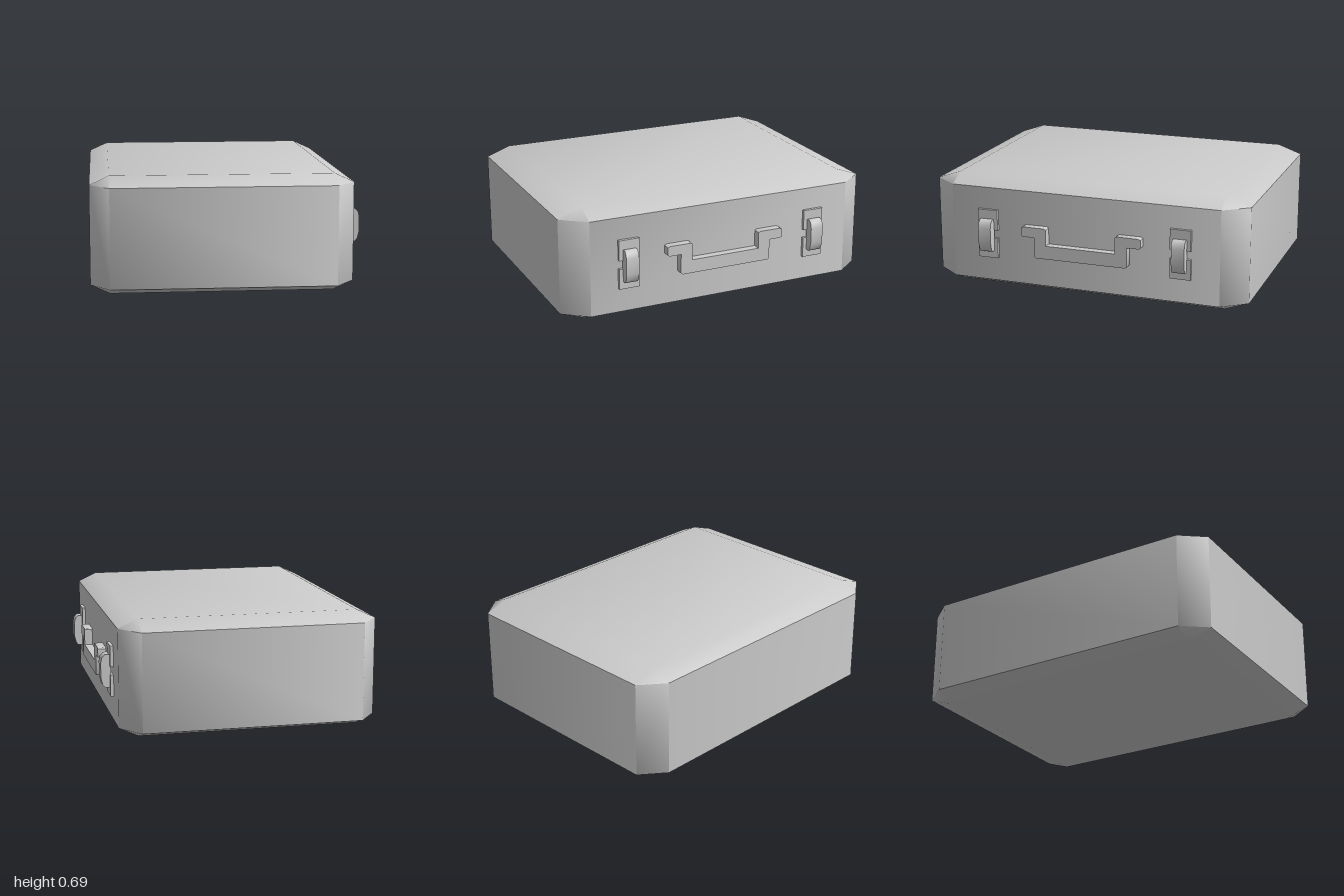
import * as THREE from 'three';
import { toCreasedNormals } from 'three/addons/utils/BufferGeometryUtils.js';
import { ConvexGeometry } from 'three/addons/geometries/ConvexGeometry.js';

const material = new THREE.MeshStandardMaterial({ color: 0xcccccc });

function part(name, geometry, parent) {
  const mesh = new THREE.Mesh(geometry, material);
  mesh.name = name;
  parent.add(mesh);
  return mesh;
}

const shapeOf = (points) => new THREE.Shape(points.map(([x, y]) => new THREE.Vector2(x, y)));

// Box with single-step chamfers: each corner becomes three points
function chamferedBox(hx, hy, hz, cx, cy, cz) {
  const points = [];
  for (const x of [-1, 1]) for (const y of [-1, 1]) for (const z of [-1, 1]) {
    points.push(
      new THREE.Vector3(x * hx, y * (hy - cy), z * (hz - cz)),
      new THREE.Vector3(x * (hx - cx), y * hy, z * (hz - cz)),
      new THREE.Vector3(x * (hx - cx), y * (hy - cy), z * hz),
    );
  }
  return toCreasedNormals(new ConvexGeometry(points), 1.05);
}

export function createModel() {
  const model = new THREE.Group();
  model.name = 'briefcase';
  const sideX = 0.738;

  // Case body
  const body = part('caseBody', chamferedBox(0.775, 0.3475, 1, 0.115, 0.053, 0.15), model);
  body.position.set(-0.037, 0.3475, 0);

  // Handle: outline of one half, mirrored, pushed out from the case side
  const half = [
    [0.22, 0.325], [0.22, 0.425], [0.23, 0.432], [0.365, 0.432], [0.38, 0.425],
    [0.38, 0.377], [0.37, 0.37], [0.295, 0.37], [0.295, 0.25], [0.285, 0.242],
  ];
  const outline = [...half, ...half.map(([x, y]) => [-x, y]).reverse()];
  const handleGeometry = new THREE.ExtrudeGeometry(shapeOf(outline), { depth: 0.05, bevelEnabled: false });
  const handle = part('handle', toCreasedNormals(handleGeometry, 0.9), model);
  handle.rotation.y = Math.PI / 2;
  handle.position.x = sideX;

  // Latches: two thin plates bridged by a rounded clasp
  const claspProfile = [
    [0.75, 0.262], [0.762, 0.25], [0.785, 0.25], [0.8, 0.268], [0.81, 0.31],
    [0.81, 0.4], [0.803, 0.432], [0.785, 0.45], [0.762, 0.45], [0.75, 0.44],
  ];
  const claspGeometry = toCreasedNormals(
    new THREE.ExtrudeGeometry(shapeOf(claspProfile), { depth: 0.08, bevelEnabled: false }), 1.05);
  for (const side of [-1, 1]) {
    const latch = new THREE.Group();
    latch.name = side > 0 ? 'frontLatch' : 'backLatch';
    latch.position.z = side * 0.613;
    model.add(latch);
    for (const [name, y] of [['lowerPlate', 0.265], ['upperPlate', 0.443]]) {
      part(name, new THREE.BoxGeometry(0.02, 0.126, 0.128), latch).position.set(sideX + 0.009, y, 0);
    }
    part('clasp', claspGeometry, latch).position.z = -0.04;
  }
  return model;
}
